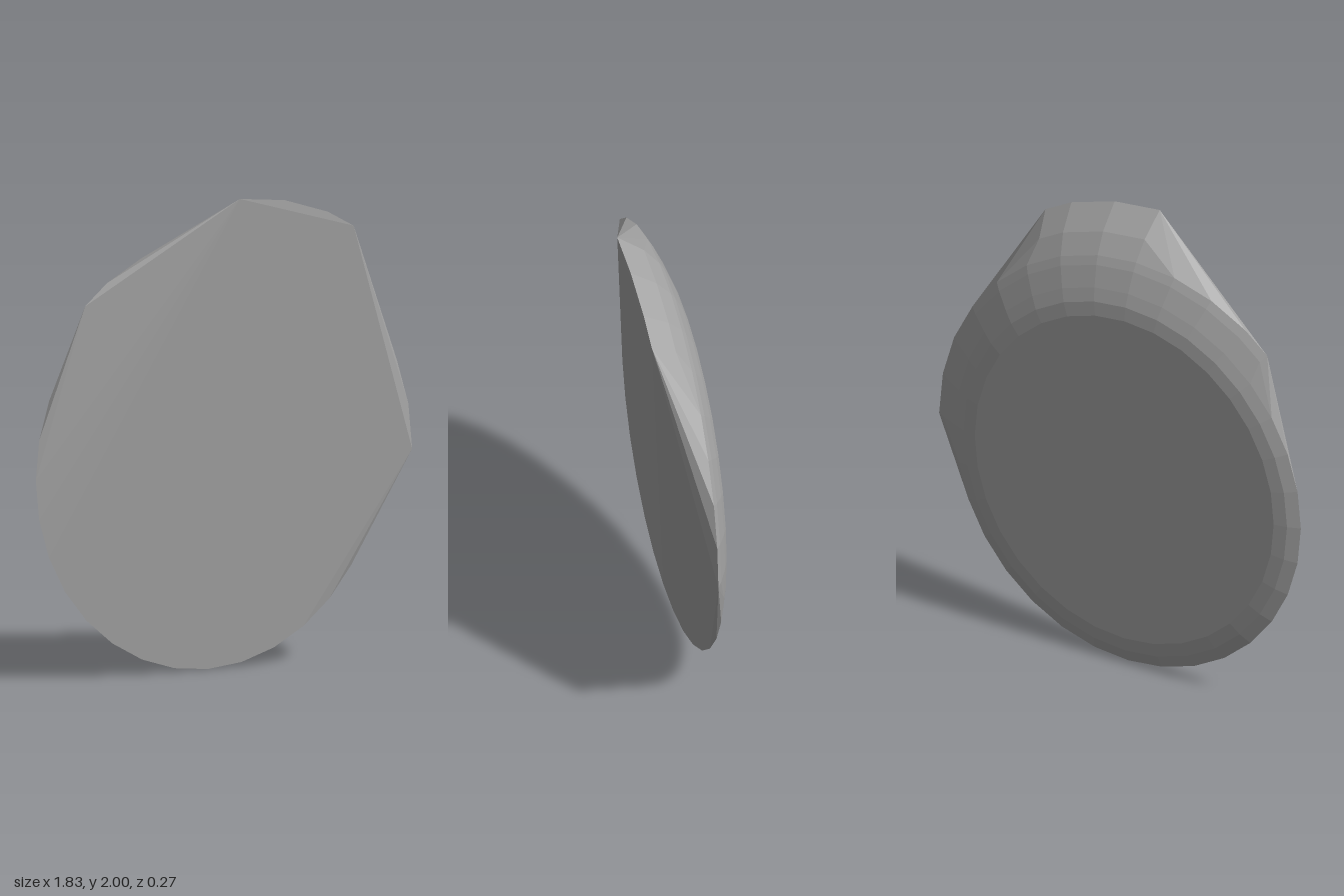
import * as THREE from 'three';
import { ConvexGeometry } from 'three/addons/geometries/ConvexGeometry.js';

const CX = -0.065, CY = 0.857, STEP = Math.PI / 16;

// Point on a 32-sided ring; fractional steps lie on the chord between corners.
function ringPoint(r, z, step) {
  const corner = (s) => new THREE.Vector3(CX + r * Math.cos(s * STEP), CY + r * Math.sin(s * STEP), z);
  const low = Math.floor(step);
  return corner(low).lerp(corner(low + 1), step - low);
}

export function createModel() {
  const group = new THREE.Group();
  group.name = 'dishFragment';
  const grey = new THREE.MeshStandardMaterial({ color: 0xa6a6a6 });
  grey.name = 'stone grey';

  // Each ring: radius, depth, first step, last step of the surviving arc.
  const rings = [
    [0.74, -0.135, 0, 31],
    [0.80, -0.126, 0, 31],
    [0.855, -0.105, 0, 31],
    [0.94, -0.066, 0, 11.73],
    [0.975, -0.045, 0, 11.73],
    [1.055, 0.02, 5.35, 8],
    [1.143, 0.135, 5.35, 8],
  ];
  const points = [];
  for (const [r, z, first, last] of rings) {
    points.push(ringPoint(r, z, first));
    for (let s = Math.floor(first) + 1; s < last; s++) points.push(ringPoint(r, z, s));
    points.push(ringPoint(r, z, last));
  }

  // Faceted bowl-shaped back closed by the sloping broken front
  const shard = new THREE.Mesh(new ConvexGeometry(points), grey);
  shard.name = 'shard';
  group.add(shard);
  return group;
}
